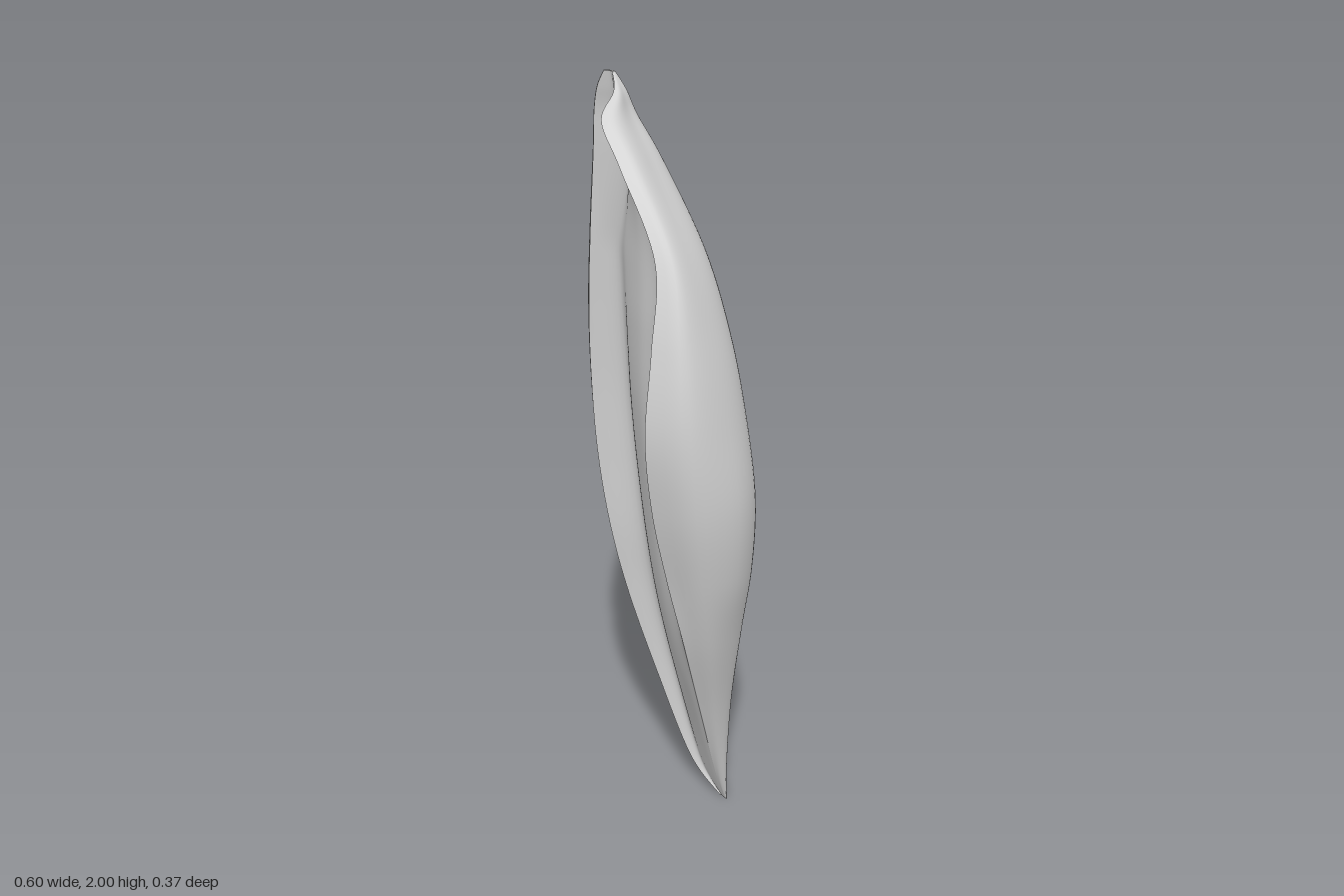
import * as THREE from 'three';

// Stations from the upper tip down to the lower tip:
// y, left edge x z, right edge x, back z, front crest x z
const STATIONS = [
  [2, -.19, -.003, -.15, -.012, -.155, .002],
  [1.96, -.22, -.008, -.115, -.03, -.12, .03],
  [1.9, -.24, -.015, -.088, -.055, -.1, .088],
  [1.8, -.25, -.02, -.008, -.085, -.03, .094],
  [1.6, -.275, -.03, .13, -.13, .095, .1],
  [1.4, -.295, -.04, .212, -.16, .135, .15],
  [1.2, -.3, -.05, .265, -.175, .15, .185],
  [1, -.287, -.057, .297, -.182, .153, .166],
  [.8, -.252, -.065, .282, -.183, .16, .122],
  [.6, -.205, -.085, .235, -.177, .17, .07],
  [.35, -.12, -.115, .18, -.162, .145, -.02],
  [.1, -.01, -.14, .143, -.156, .12, -.11],
  [0, .1, -.15, .13, -.155, .12, -.147],
];
const ROWS = 104;
const { clamp, lerp, smoothstep } = THREE.MathUtils;

// Smooth value of every column between two stations
function stationAt(t) {
  const f = t * (STATIONS.length - 1);
  const i = Math.min(Math.floor(f), STATIONS.length - 2);
  const row = k => STATIONS[clamp(k, 0, STATIONS.length - 1)];
  const u = f - i;
  return row(i).map((b, c) => {
    const a = row(i - 1)[c], d = row(i + 1)[c], e = row(i + 2)[c];
    const m0 = (d - a) / 2, m1 = (e - b) / 2;
    return b + u * (m0 + u * (3 * (d - b) - 2 * m0 - m1 + u * (2 * (b - d) + m0 + m1)));
  });
}

// Low ridge just inside the left edge, where back and front meet
function leftRidge([y, lx, lz, rx]) {
  const width = rx - lx;
  return new THREE.Vector3(lx + .12 * width, y, lz + .12 * width);
}

// Bottom of the hollow in the front, nearer the crest towards the upper tip
function hollow([y, lx, lz, rx]) {
  const width = rx - lx;
  const share = .27 + .33 * smoothstep(y, 1.55, 1.9);
  return new THREE.Vector3(lx + share * width, y, lz + .03 * width);
}

// Domed back, running from the left ridge round the right flank to the front crest
function backSection(station) {
  const [y, lx, lz, rx, bz, cx, cz] = station;
  const rz = lz + .11 * (rx - lx);
  const points = [leftRidge(station)];
  for (let i = 0; i <= 8; i++) {
    const a = Math.PI * i / 8, k = (1 - Math.cos(a)) / 2;
    const depth = (bz - (lz + rz) / 2) * Math.pow(Math.max(0, Math.sin(a)), .74);
    points.push(new THREE.Vector3(lerp(lx, rx, k), y, lerp(lz, rz, k) + depth));
  }
  points.push(new THREE.Vector3((rx + cx) / 2 + .2 * (cz - rz), y, (rz + cz) / 2 + .2 * (rx - cx)));
  points.push(new THREE.Vector3(cx, y, cz));
  return points;
}

// Front face, steep below the upper crest and rounded lower down, then the hollow
function frontSection(station) {
  const [y, , , , , cx, cz] = station;
  const low = hollow(station), steep = smoothstep(y, .4, .95);
  const between = (kx, kz) =>
    new THREE.Vector3(lerp(cx, low.x, kx), y, lerp(cz, low.z, kz));
  return [
    new THREE.Vector3(cx, y, cz),
    between(.16, lerp(.08, .38, steep)),
    between(.5, lerp(.4, .57, steep)),
    between(.8, lerp(.75, .8, steep)),
    low,
    leftRidge(station),
  ];
}

// Skin the sections; an extra ring shrunk to a point closes each tip
function loft(section, columns) {
  const positions = [], index = [], w = columns + 1;
  for (let j = -1; j <= ROWS + 1; j++) {
    const station = stationAt(clamp(j / ROWS, 0, 1));
    const isTip = j < 0 || j > ROWS;
    const curve = new THREE.CatmullRomCurve3(section(station));
    for (let i = 0; i <= columns; i++) {
      const p = isTip ? hollow(station) : curve.getPoint(i / columns);
      positions.push(p.x, p.y, p.z);
    }
  }
  for (let j = 0; j < ROWS + 2; j++) {
    for (let i = 0; i < columns; i++) {
      const a = j * w + i, b = a + w;
      index.push(a, a + 1, b, a + 1, b + 1, b);
    }
  }
  const geometry = new THREE.BufferGeometry();
  geometry.setAttribute('position', new THREE.Float32BufferAttribute(positions, 3));
  geometry.setIndex(index);
  geometry.computeVertexNormals();
  return geometry;
}

export function createModel() {
  const group = new THREE.Group();
  group.name = 'muscle';
  const material = new THREE.MeshStandardMaterial({ color: 0xcccccc, side: THREE.DoubleSide });
  const add = (name, geometry) => {
    const mesh = new THREE.Mesh(geometry, material);
    mesh.name = name;
    group.add(mesh);
  };
  add('domedBack', loft(backSection, 55));
  add('hollowedFront', loft(frontSection, 30));
  return group;
}
